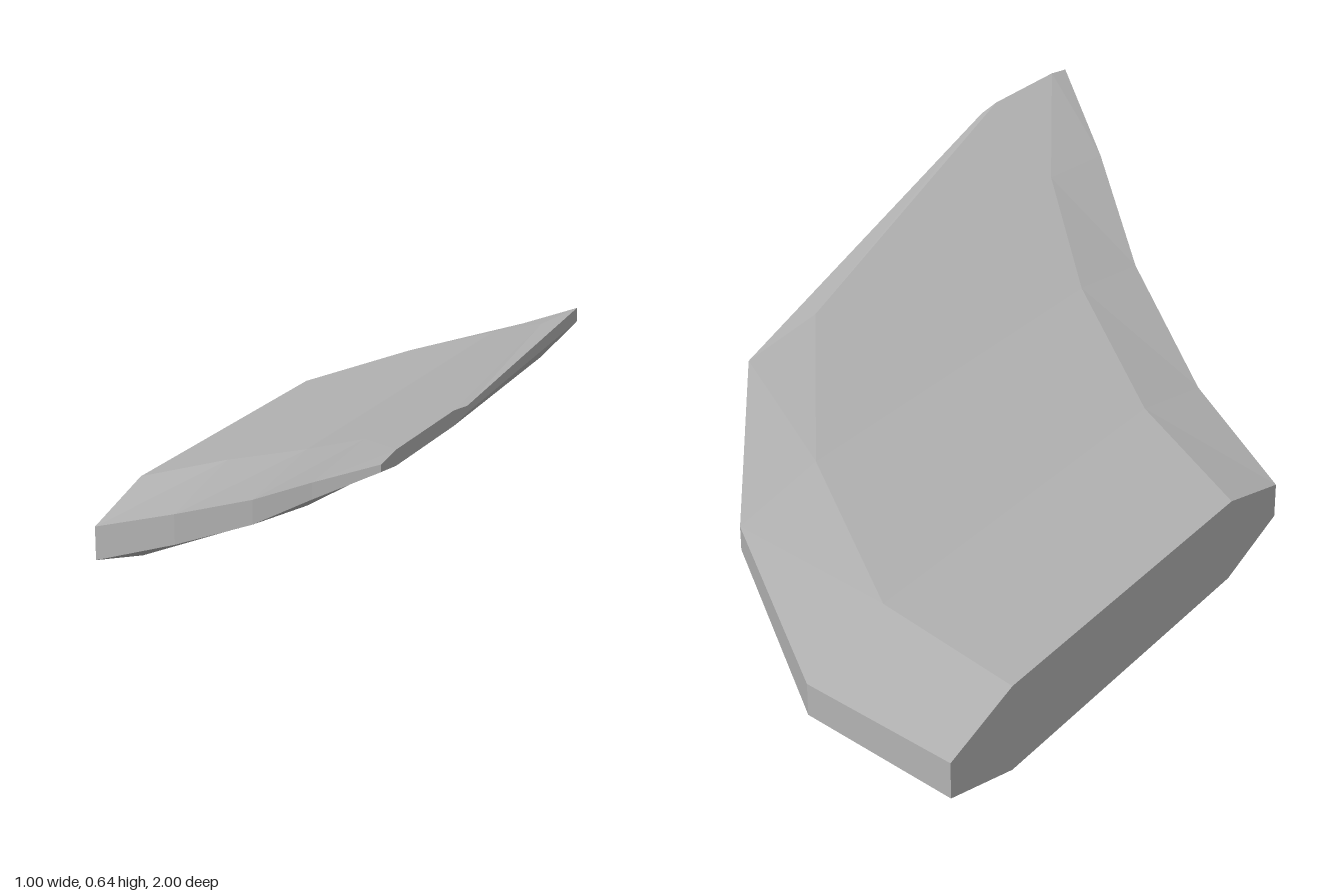
import * as THREE from 'three';

// Stations along the blade: x, front z, back z, edge inset, then four heights
// (underside, lower rim, upper rim, top)
const STATIONS = [
  [-0.5, 0.26, -0.935, 0.195, 0, 0.055, 0.13, 0.182],
  [-0.24, 0.38, -1, 0.228, 0.125, 0.17, 0.235, 0.282],
  [0.048, 0.59, -0.82, 0.23, 0.29, 0.325, 0.374, 0.406],
  [0.286, 0.82, -0.49, 0.215, 0.457, 0.482, 0.513, 0.53],
  [0.5, 1, 0.64, 0.06, 0.61, 0.617, 0.63, 0.638],
];

// Eight-sided section with bevelled front and back rims, front over top to back
function section([x, front, back, inset, under, low, high, top]) {
  return [
    [front, high], [front - inset, top], [back + inset, top], [back, high],
    [back, low], [back + inset, under], [front - inset, under], [front, low],
  ].map(([z, y]) => [x, y, z]);
}

function loftSections(rings) {
  const n = rings[0].length;
  const index = [];
  // Skin between neighbouring sections
  for (let i = 0; i < rings.length - 1; i++) {
    for (let j = 0; j < n; j++) {
      const k = (j + 1) % n;
      const a = i * n + j, b = a + n, c = (i + 1) * n + k, d = i * n + k;
      index.push(a, b, c, a, c, d);
    }
  }
  // Root and tip caps
  const tip = (rings.length - 1) * n;
  for (let j = 1; j < n - 1; j++) {
    index.push(0, j, j + 1, tip, tip + j + 1, tip + j);
  }
  const geometry = new THREE.BufferGeometry();
  geometry.setAttribute('position', new THREE.Float32BufferAttribute(rings.flat(2), 3));
  geometry.setIndex(index);
  const faceted = geometry.toNonIndexed();
  faceted.computeVertexNormals();
  return faceted;
}

export function createModel() {
  const group = new THREE.Group();
  group.name = 'sweptBlade';
  const grey = new THREE.MeshStandardMaterial({ color: 0xb4b4b4 });
  grey.name = 'plain grey';
  grey.flatShading = true;

  // Swept, tapering blade rising towards its tip
  const blade = new THREE.Mesh(loftSections(STATIONS.map(section)), grey);
  blade.name = 'blade';
  group.add(blade);
  return group;
}
